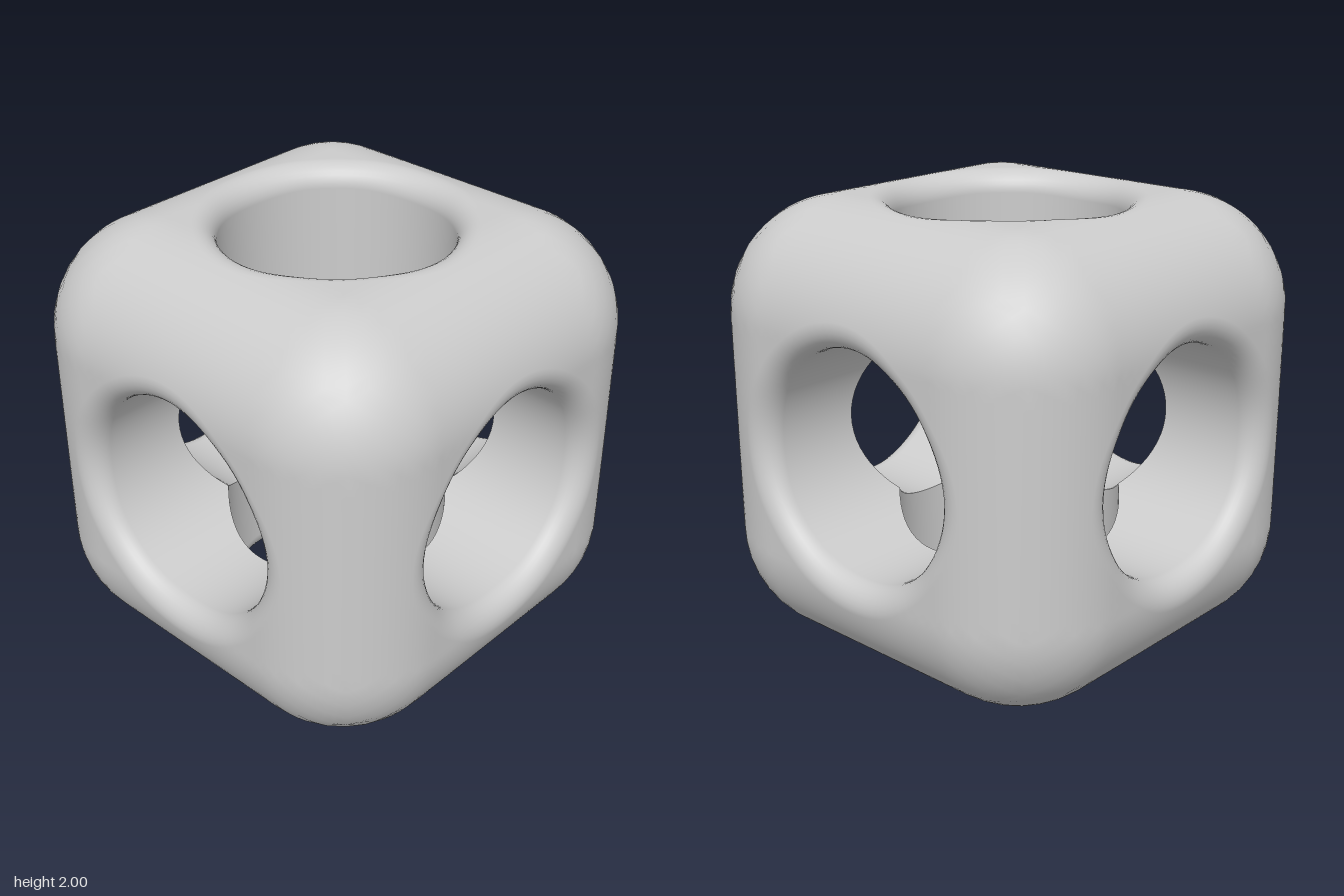
import * as THREE from 'three';

const CORE = 0.5;    // half size of the flat face
const ROUND = 0.5;   // radius of the cube's rounded edges
const BORE = 0.5;    // radius of the three through holes
const FILLET = 0.1;  // radius of the rounded hole rims
const ANGLES = 80, WALL = 4, RIM = 8, SKIN = 14;

const clampCore = (v) => Math.max(-CORE, Math.min(CORE, v));
const nearestCore = (x, y) => new THREE.Vector3(clampCore(x), clampCore(y), CORE);

// Height of a rounded cube of the given edge radius above (x, y)
function height(x, y, radius) {
  const dx = x - clampCore(x), dy = y - clampCore(y);
  return CORE + Math.sqrt(Math.max(0, radius * radius - dx * dx - dy * dy));
}

// Distance along a ray at which this face meets its neighbours
function reach(c, s) {
  const m = Math.max(Math.abs(c), Math.abs(s));
  let lo = 0.5, hi = 1.4;
  for (let i = 0; i < 40; i++) {
    const r = (lo + hi) / 2;
    if (height(r * c, r * s, ROUND) > r * m) lo = r; else hi = r;
  }
  return lo;
}

// Cross-section at one angle: bore wall, rounded rim, then outer skin
function section(angle) {
  const c = Math.cos(angle), s = Math.sin(angle), rows = [];
  const inward = new THREE.Vector3(-c, -s, 0);
  const rc = BORE + FILLET;
  const center = new THREE.Vector3(rc * c, rc * s, height(rc * c, rc * s, ROUND - FILLET));

  // bore wall, starting where the three bores intersect
  const z0 = BORE * Math.max(Math.abs(c), Math.abs(s));
  for (let i = 0; i <= WALL; i++) {
    const z = THREE.MathUtils.lerp(z0, center.z, i / WALL);
    rows.push({ p: new THREE.Vector3(BORE * c, BORE * s, z), n: inward });
  }

  // rim, a rolling-ball arc
  const top = center.clone().sub(nearestCore(center.x, center.y)).normalize();
  const sweep = inward.angleTo(top);
  for (let i = 1; i <= RIM; i++) {
    const a = sweep * i / RIM;
    const n = inward.clone().multiplyScalar(Math.sin(sweep - a))
      .addScaledVector(top, Math.sin(a)).normalize();
    rows.push({ p: center.clone().addScaledVector(n, FILLET), n });
  }

  // outer skin out to the neighbouring faces
  const start = rows[rows.length - 1].p, r = reach(c, s);
  for (let i = 1; i <= SKIN; i++) {
    const x = THREE.MathUtils.lerp(start.x, r * c, i / SKIN);
    const y = THREE.MathUtils.lerp(start.y, r * s, i / SKIN);
    const p = new THREE.Vector3(x, y, height(x, y, ROUND));
    rows.push({ p, n: p.clone().sub(nearestCore(x, y)).normalize() });
  }
  return rows;
}

// One face of the cube, looking along +z
function faceGeometry() {
  const positions = [], normals = [], index = [];
  const rows = WALL + RIM + SKIN + 1;
  for (let j = 0; j <= ANGLES; j++) {
    for (const { p, n } of section(j / ANGLES * Math.PI * 2)) {
      positions.push(p.x, p.y, p.z);
      normals.push(n.x, n.y, n.z);
    }
  }
  for (let j = 0; j < ANGLES; j++) {
    for (let i = 0; i < rows - 1; i++) {
      const a = j * rows + i, b = a + 1, d = a + rows, e = d + 1;
      index.push(a, b, d, b, e, d);
    }
  }
  const g = new THREE.BufferGeometry();
  g.setAttribute('position', new THREE.Float32BufferAttribute(positions, 3));
  g.setAttribute('normal', new THREE.Float32BufferAttribute(normals, 3));
  g.setIndex(index);
  return g;
}

export function createModel() {
  const group = new THREE.Group();
  group.name = 'piercedRoundedCube';
  const material = new THREE.MeshStandardMaterial({ color: 0xcccccc });
  const geometry = faceGeometry();
  const q = Math.PI / 2;
  const faces = {
    frontFace: [0, 0], backFace: [0, 2 * q], leftFace: [0, q],
    rightFace: [0, -q], topFace: [-q, 0], bottomFace: [q, 0],
  };
  for (const [name, [rx, ry]] of Object.entries(faces)) {
    const mesh = new THREE.Mesh(geometry, material);
    mesh.name = name;
    mesh.rotation.set(rx, ry, 0);
    mesh.position.y = 1;
    group.add(mesh);
  }
  return group;
}
